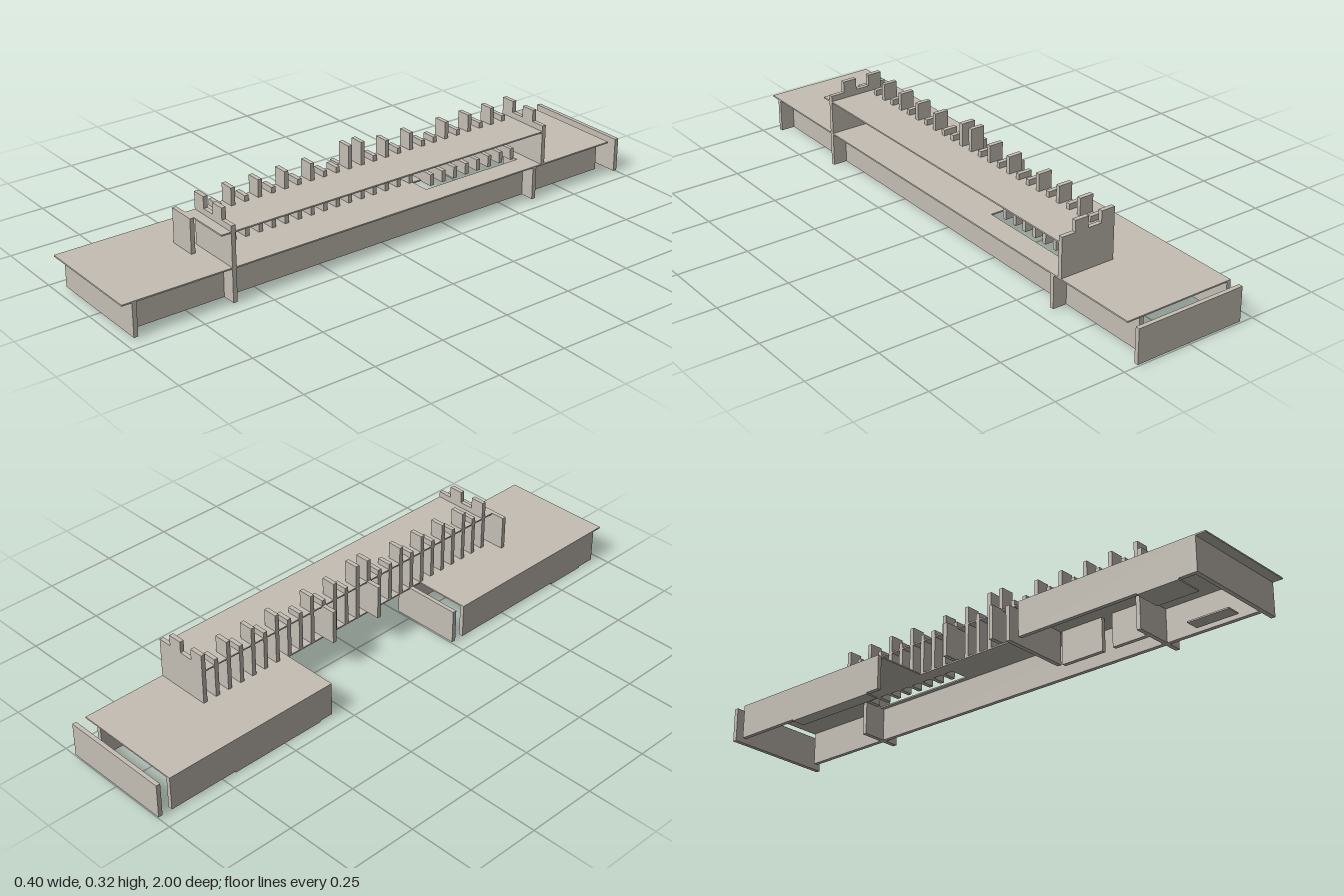
import * as THREE from 'three';

export function createModel() {
  const model = new THREE.Group();
  const material = new THREE.MeshStandardMaterial({ color: 0xc4beb4, flatShading: true });
  const T = 0.015; // panel thickness
  const DECK = 0.125;

  // Box given by its limits along each axis
  function panel(name, x0, x1, y0, y1, z0, z1) {
    const mesh = new THREE.Mesh(new THREE.BoxGeometry(x1 - x0, y1 - y0, z1 - z0), material);
    mesh.position.set((x0 + x1) / 2, (y0 + y1) / 2, (z0 + z1) / 2);
    mesh.name = name;
    model.add(mesh);
  }

  // Flat slab from an (x, z) outline, with optional rectangular openings
  function slab(name, outline, top, thickness, holes = []) {
    const toPoints = (list) => list.map(([x, z]) => new THREE.Vector2(x, z));
    const shape = new THREE.Shape(toPoints(outline));
    holes.forEach((hole) => shape.holes.push(new THREE.Path(toPoints(hole))));
    const geometry = new THREE.ExtrudeGeometry(shape, { depth: thickness, bevelEnabled: false });
    geometry.rotateX(Math.PI / 2);
    const mesh = new THREE.Mesh(geometry, material);
    mesh.position.y = top;
    mesh.name = name;
    model.add(mesh);
  }

  // C-shaped main deck with a stair opening, and the roof over its long side
  slab('deck', [[-0.2, 1], [-0.2, 0.3], [0, 0.3], [0, -0.3], [-0.2, -0.3], [-0.2, -0.95], [0.2, -0.95], [0.2, 1]],
    DECK, 0.005, [[[0.05, -0.2], [0.12, -0.2], [0.12, -0.6], [0.05, -0.6]]]);
  slab('roof', [[0, 0.65], [0, -0.65], [0.2, -0.65], [0.2, 0.65]], 0.245, 0.005);

  // Ground storey: long walls
  const under = DECK - 0.005;
  const base = 0.005;
  [[0.615, 0.95], [-0.6, 0.6], [-0.945, -0.615]].forEach(([z0, z1]) =>
    panel('outerWall', 0.15 - T, 0.15, base, under, z0, z1));
  [[0.3, 0.95], [-0.95, -0.3]].forEach(([z0, z1]) =>
    panel('innerWall', -0.2, -0.2 + T, base, under, z0, z1));

  // Ground storey: cross walls
  panel('frontWall', -0.2, 0.2, base, under, 0.95, 0.965);
  panel('backWall', -0.2, 0.2, base, DECK, -1, -0.985);
  panel('courtWall', -0.2, 0.05, base, DECK, 0.25, 0.265);
  panel('frontCrossWall', 0, 0.2, base, under, 0.6, 0.6 + T);
  panel('backCrossWall', 0.05, 0.2, base, under, -0.615, -0.6);
  [[0.27, 0.43], [0.47, 0.6]].forEach(([z0, z1]) =>
    panel('partition', 0.05, 0.05 + T, base, under, z0, z1));

  // Thin ground plates
  panel('groundPlate', 0.05, 0.1, 0, base, 0.75, 0.9);
  panel('groundPlate', -0.2, -0.1, 0, base, 0.75, 0.9);
  panel('groundPlate', -0.2, -0.15, 0, base, -0.7, -0.35);

  // Crenellated end walls of the upper storey
  for (const z of [0.6, -0.65]) {
    panel('endWall', 0, 0.2, DECK, 0.265, z, z + T);
    for (const x of [0, 0.1]) panel('endMerlon', x, x + 0.05, 0.265, 0.305, z, z + T);
  }

  // Row of fins with varied heights
  const tall = [10, 8, 6, 4, -2, -4, -7, -9, -11];
  for (let i = -12; i <= 11; i++) {
    const top = i === 0 || i === 1 ? 0.325 : tall.includes(i) ? 0.305 : 0.265;
    panel('fin', 0, 0.05, DECK, top, i * 0.05, i * 0.05 + T);
  }

  // Low blocks beside the stair opening
  for (let i = -12; i <= -5; i++) {
    panel('lowBlock', 0.05, 0.1, under, 0.16, i * 0.05, i * 0.05 + T);
  }

  // Projecting side panels
  for (const z of [-0.15, 0.05]) panel('sidePanel', -0.05, 0, DECK, 0.245, z, z + T);
  panel('frontScreen', -0.05, 0.05, DECK, 0.245, 0.65, 0.65 + T);

  return model;
}
